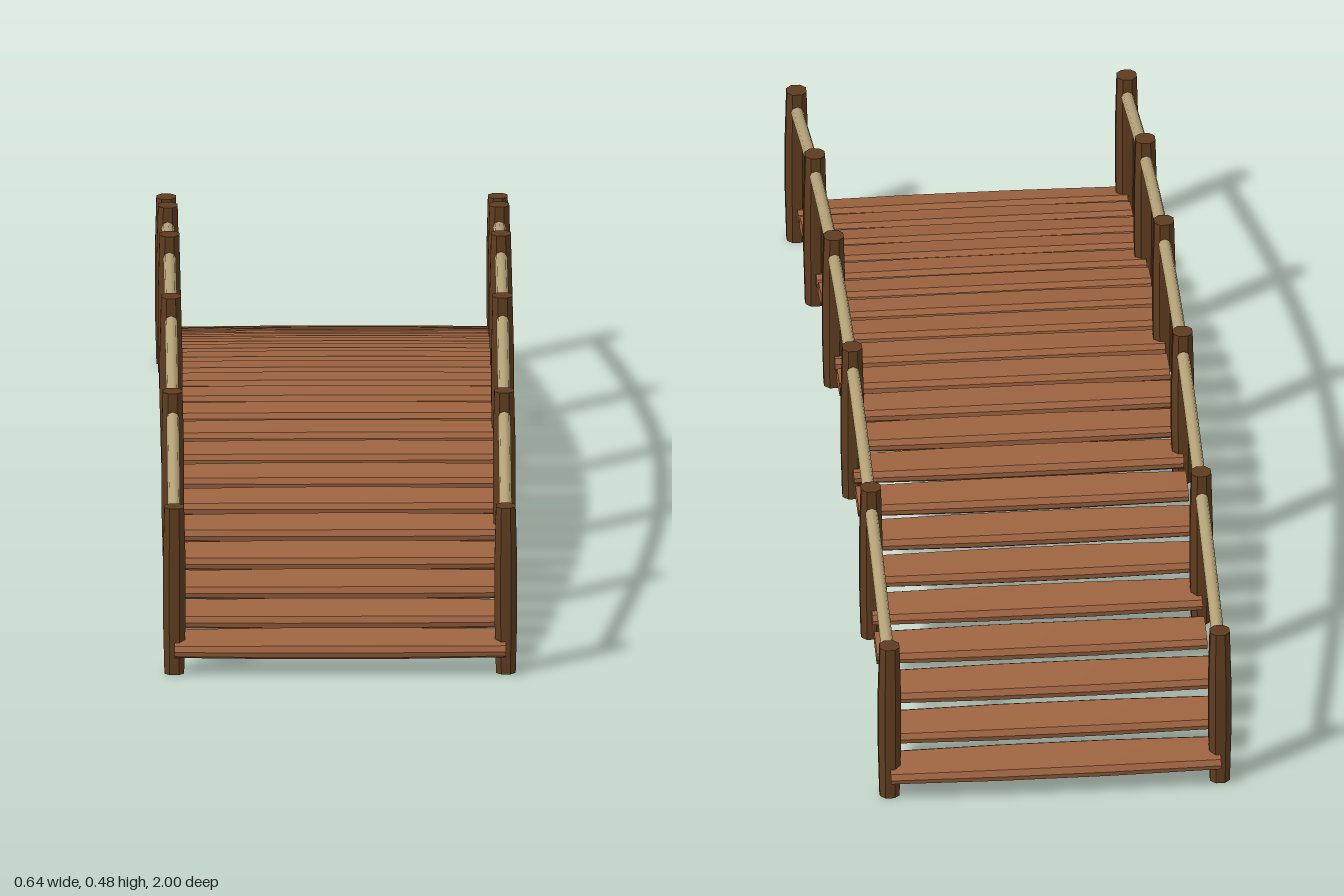
import * as THREE from 'three';
import { toCreasedNormals } from 'three/addons/utils/BufferGeometryUtils.js';

const PLANKS = 21, SPAN = 0.96, HALF_WIDTH = 0.3;

// Deck height and slope along the arch
const phase = (z) => (Math.PI / 2) * (z / SPAN);
const deckY = (z) => 0.054 + 0.172 * Math.cos(phase(z));
const deckSlope = (z) => -0.172 * (Math.PI / 2 / SPAN) * Math.sin(phase(z));

// Hewn timber along z: chamfered section, slightly thinner at both ends
function timber(w, h, length, chamfer, endW, endH) {
  const a = w / 2, b = h / 2, c = chamfer;
  const shape = new THREE.Shape([
    [a, -b + c], [a, b - c], [a - c, b], [-a + c, b],
    [-a, b - c], [-a, -b + c], [-a + c, -b], [a - c, -b],
  ].map(([x, y]) => new THREE.Vector2(x, y)));
  const geo = new THREE.ExtrudeGeometry(shape, { depth: length, steps: 3, bevelEnabled: false });
  geo.translate(0, 0, -length / 2);
  const p = geo.attributes.position;
  for (let i = 0; i < p.count; i++) {
    if (Math.abs(p.getZ(i)) > length * 0.4) {
      p.setX(i, p.getX(i) * endW);
      p.setY(i, p.getY(i) * endH);
    }
  }
  return toCreasedNormals(geo, 0.6);
}

export function createModel() {
  const plankWood = new THREE.MeshStandardMaterial({ color: 0x9c6340 });
  plankWood.name = 'plankWood';
  const postWood = new THREE.MeshStandardMaterial({ color: 0x5e3c1f });
  postWood.name = 'postWood';
  const railRope = new THREE.MeshStandardMaterial({ color: 0xb5a277 });
  railRope.name = 'railRope';

  const bridge = new THREE.Group();
  bridge.name = 'archedFootbridge';

  // Deck planks, tilted to follow the arch
  const deck = new THREE.Group();
  deck.name = 'deck';
  const plankGeo = timber(0.08, 0.028, HALF_WIDTH * 2, 0.009, 0.92, 0.88).rotateY(Math.PI / 2);
  for (let i = 0; i < PLANKS; i++) {
    const z = -SPAN + (2 * SPAN * i) / (PLANKS - 1);
    const plank = new THREE.Mesh(plankGeo, plankWood);
    plank.name = 'plank';
    plank.position.set(0, deckY(z), z);
    plank.rotation.x = -Math.atan(deckSlope(z));
    deck.add(plank);
  }
  bridge.add(deck);

  // Posts at every fourth plank and a handrail on each side
  const postGeo = timber(0.041, 0.041, 0.314, 0.011, 0.87, 0.87).rotateX(-Math.PI / 2);
  for (const side of [-1, 1]) {
    const railing = new THREE.Group();
    railing.name = side > 0 ? 'leftRailing' : 'rightRailing';
    const points = [];
    for (let i = 0; i < 6; i++) {
      const z = -SPAN + (2 * SPAN * i) / 5;
      const post = new THREE.Mesh(postGeo, postWood);
      post.name = 'post';
      post.position.set(side * HALF_WIDTH, deckY(z) + 0.103, z);
      railing.add(post);
      points.push(new THREE.Vector3(side * HALF_WIDTH, deckY(z) + 0.218, z));
    }
    const rail = new THREE.Mesh(
      new THREE.TubeGeometry(new THREE.CatmullRomCurve3(points), 30, 0.0115, 8), railRope);
    rail.name = 'handrail';
    railing.add(rail);
    bridge.add(railing);
  }
  return bridge;
}
